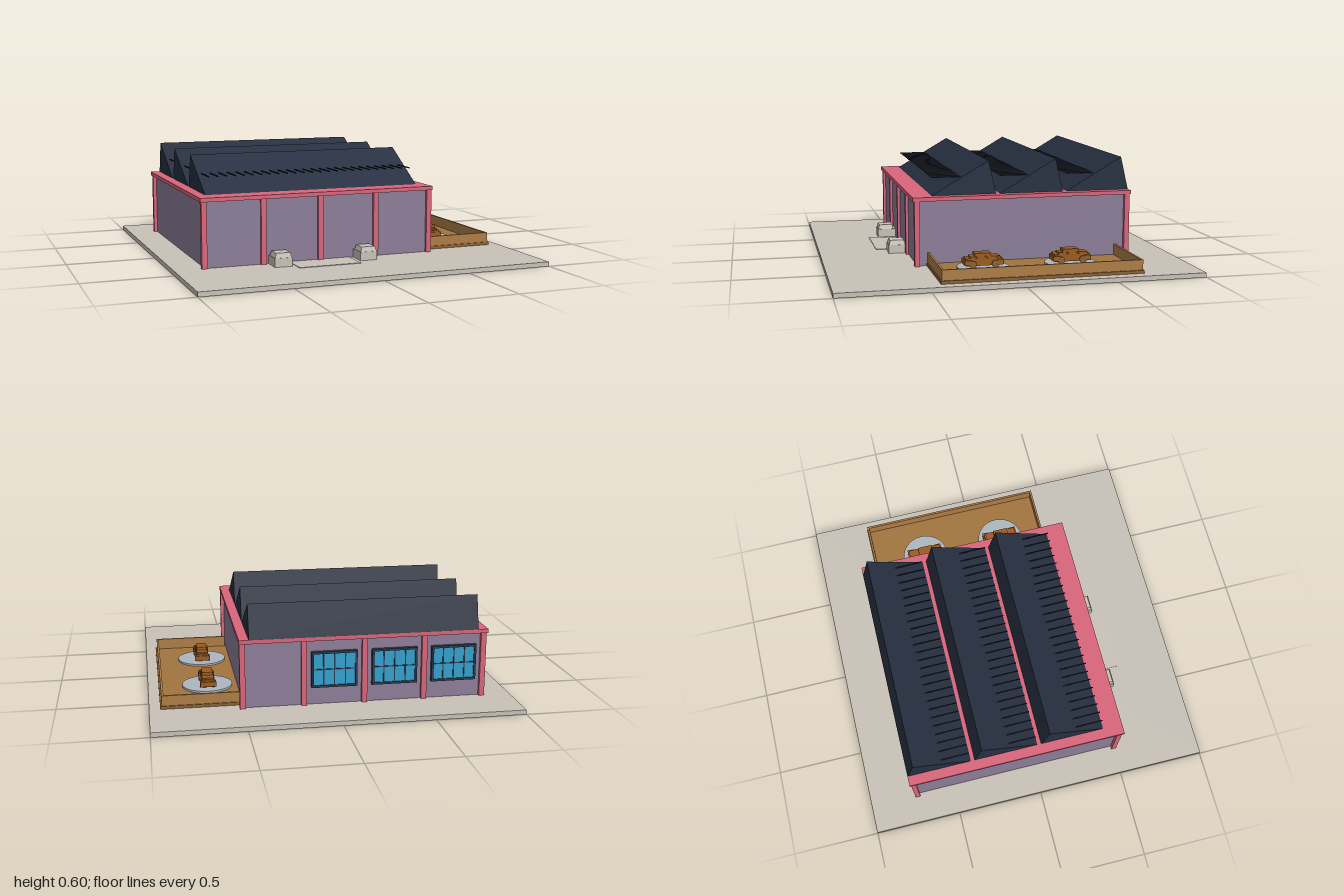
import * as THREE from 'three';

const mat = (color, side = THREE.FrontSide) =>
  new THREE.MeshStandardMaterial({ color, side, flatShading: true });
const M = {
  ground: mat(0xc8c2b8), wall: mat(0x8c7d98), trim: mat(0xd9657b), roof: mat(0x262f40),
  rod: mat(0x151a24), glass: mat(0x35a0cc), frame: mat(0x2b3a4c), wood: mat(0xae7d46),
  floor: mat(0xa2743f), darkWood: mat(0x8a6136), disc: mat(0xaeb6bf), car: mat(0x9c5a1e),
};

// Box given by its low and high bounds on each axis
function box(parent, name, m, x0, x1, y0, y1, z0, z1) {
  const mesh = new THREE.Mesh(new THREE.BoxGeometry(x1 - x0, y1 - y0, z1 - z0), m);
  mesh.position.set((x0 + x1) / 2, (y0 + y1) / 2, (z0 + z1) / 2);
  mesh.name = name;
  parent.add(mesh);
  return mesh;
}

function group(parent, name) {
  const g = new THREE.Group();
  g.name = name;
  parent.add(g);
  return g;
}

// Sawtooth roof bay with a row of thin rods sticking out of its slope
function roofTooth(parent, front, ridge, back) {
  const g = group(parent, 'roofTooth');
  const s = new THREE.Shape();
  s.moveTo(-front, 0.41);
  s.lineTo(-ridge, 0.6);
  s.lineTo(-back, 0.41);
  s.closePath();
  const geo = new THREE.ExtrudeGeometry(s, { depth: 1.265, bevelEnabled: false });
  geo.rotateY(Math.PI / 2);
  geo.translate(-0.8, 0, 0);
  const tooth = new THREE.Mesh(geo, M.roof);
  tooth.name = 'roofPrism';
  g.add(tooth);
  for (let i = 0; i < 25; i++) {
    const x = -0.775 + i * 0.05;
    box(g, 'roofRod', M.rod, x - 0.003, x + 0.003, 0.506, 0.512, ridge + 0.1, front - 0.01);
  }
}

// Framed window on the back wall
function backWindow(parent, x) {
  const g = group(parent, 'window');
  const w = 0.12, y0 = 0.13, y1 = 0.32;
  box(g, 'windowGlass', M.glass, x - w, x + w, y0, y1, -0.73, -0.7);
  for (const s of [-1, 1]) {
    box(g, 'windowJamb', M.frame, x + s * w - 0.006, x + s * w + 0.006, y0, y1, -0.737, -0.7);
  }
  for (const y of [y0, y1]) {
    box(g, 'windowRail', M.frame, x - w - 0.006, x + w + 0.006, y - 0.006, y + 0.006, -0.737, -0.7);
  }
  for (let i = 1; i < 4; i++) {
    const mx = x - w + i * w / 2;
    box(g, 'windowMullion', M.frame, mx - 0.003, mx + 0.003, y0, y1, -0.734, -0.7);
  }
  box(g, 'windowCrossbar', M.frame, x - w, x + w, 0.222, 0.228, -0.734, -0.7);
}

// Stepped block standing against the front wall
function frontBlock(parent, x) {
  const g = group(parent, 'frontBlock');
  box(g, 'blockBase', M.ground, x - 0.05, x + 0.05, 0.02, 0.075, 0.49, 0.605);
  const top = new THREE.CylinderGeometry(0.04 * Math.SQRT2, 0.047 * Math.SQRT2, 0.027, 4);
  top.rotateY(Math.PI / 4);
  const cap = new THREE.Mesh(top, M.ground);
  cap.position.set(x, 0.0885, 0.555);
  cap.name = 'blockCap';
  g.add(cap);
}

// Small vehicle displayed on a round turntable
function displayCar(parent, z) {
  const g = group(parent, 'displayCar');
  g.position.set(0.665, 0, z);
  const disc = new THREE.Mesh(new THREE.CylinderGeometry(0.142, 0.142, 0.012, 40), M.disc);
  disc.position.y = 0.042;
  disc.name = 'turntable';
  g.add(disc);
  box(g, 'carBody', M.car, -0.036, 0.036, 0.058, 0.1, -0.1, 0.1);
  box(g, 'carDeck', M.car, -0.033, 0.033, 0.1, 0.108, -0.09, 0.075);
  box(g, 'carCabin', M.car, -0.03, 0.03, 0.1, 0.126, -0.04, 0.05);
  for (const s of [-1, 1]) {
    box(g, 'carBumper', M.car, -0.045, 0.045, 0.062, 0.09, s * 0.09 - 0.018, s * 0.09 + 0.018);
    for (const t of [-1, 1]) {
      const wheel = new THREE.Mesh(new THREE.CylinderGeometry(0.02, 0.02, 0.016, 16), M.darkWood);
      wheel.rotation.z = Math.PI / 2;
      wheel.position.set(s * 0.036, 0.067, t * 0.062);
      wheel.name = 'carWheel';
      g.add(wheel);
    }
  }
}

export function createModel() {
  const root = new THREE.Group();
  root.name = 'factory';

  // Ground slab and front step
  box(root, 'ground', M.ground, -1, 1, 0, 0.026, -1, 1);
  box(root, 'frontPath', M.ground, -0.35, 0.01, 0.02, 0.029, 0.48, 0.665);

  // Walls, posts and roof slab
  const hall = group(root, 'hall');
  box(hall, 'walls', M.wall, -0.83, 0.495, 0.02, 0.395, -0.715, 0.495);
  for (let i = 0; i < 5; i++) {
    const x = -0.835 + i * 0.334;
    box(hall, 'frontPost', M.trim, x - 0.015, x + 0.015, 0.02, 0.392, 0.482, 0.511);
    box(hall, 'backPost', M.trim, x - 0.015, x + 0.015, 0.02, 0.392, -0.735, -0.706);
  }
  box(hall, 'roofSlab', M.trim, -0.857, 0.518, 0.39, 0.412, -0.742, 0.52);

  // Sawtooth roof
  for (let i = 0; i < 3; i++) {
    const d = -0.39 * i;
    roofTooth(hall, 0.41 + d, 0.083 + d, 0.038 + d);
  }

  // Windows in three of the back bays
  for (let i = 0; i < 3; i++) backWindow(hall, -0.668 + i * 0.334);

  for (const x of [-0.42, 0.083]) frontBlock(root, x);

  // Walled side yard
  const yard = group(root, 'sideYard');
  box(yard, 'yardFloor', M.floor, 0.49, 0.93, 0.02, 0.037, -0.655, 0.43);
  box(yard, 'yardWallFront', M.wood, 0.5, 0.932, 0.02, 0.1, 0.425, 0.437);
  box(yard, 'yardWallBack', M.wood, 0.5, 0.932, 0.02, 0.1, -0.662, -0.65);
  box(yard, 'yardWallSide', M.wood, 0.92, 0.932, 0.02, 0.1, -0.65, 0.425);
  box(yard, 'yardPlinthFront', M.darkWood, 0.5, 0.94, 0.02, 0.043, 0.43, 0.443);
  box(yard, 'yardPlinthBack', M.darkWood, 0.5, 0.94, 0.02, 0.043, -0.668, -0.655);
  box(yard, 'yardPlinthSide', M.darkWood, 0.925, 0.94, 0.02, 0.043, -0.655, 0.43);
  for (const z of [0.162, -0.335]) displayCar(yard, z);

  return root;
}
